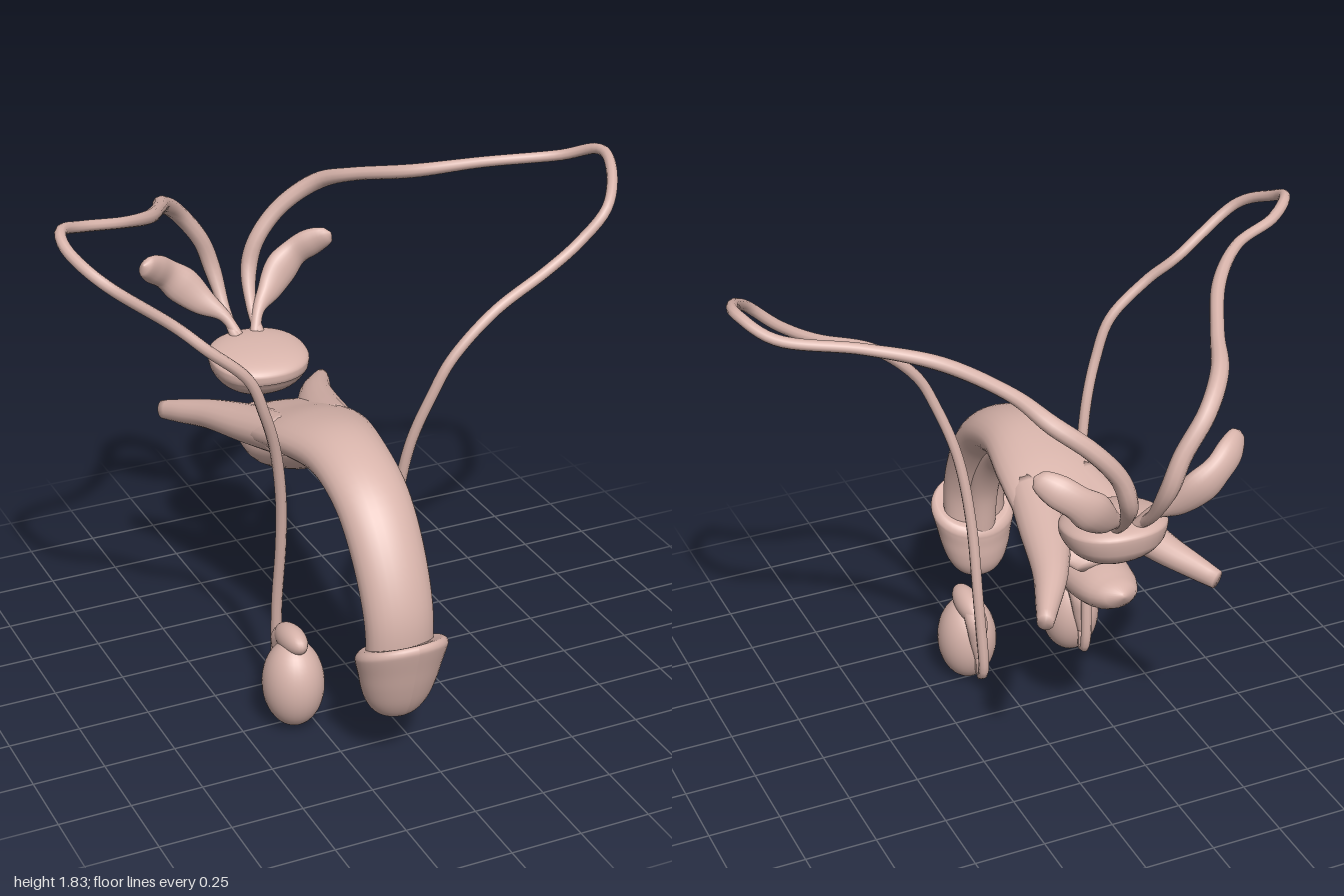
import * as THREE from 'three';

const MID = -0.105; // plane of symmetry of the central organs

// Elliptical sweep. Each station is [x, y, z, halfWidth, halfHeight].
// With ref, the width runs along ref x tangent; otherwise frames are transported.
function sweep(stations, { rings = 40, sides = 20, ref = null } = {}) {
  const curve = new THREE.CatmullRomCurve3(stations.map(s => new THREE.Vector3(s[0], s[1], s[2])));
  const radii = new THREE.CatmullRomCurve3(stations.map(s => new THREE.Vector3(s[3], s[4] ?? s[3], 0)));
  // match the arc-length parameter of the path to the station parameter
  curve.curveType = radii.curveType = 'catmullrom';
  const frames = curve.computeFrenetFrames(rings, false);
  const pos = [], index = [];
  const ring = (k, scale) => {
    const u = k / rings, p = curve.getPointAt(u), r = radii.getPoint(curve.getUtoTmapping(u));
    const t = frames.tangents[k];
    const n = ref ? ref.clone().cross(t).normalize() : frames.normals[k];
    const b = t.clone().cross(n);
    for (let i = 0; i < sides; i++) {
      const a = (i / sides) * Math.PI * 2;
      const q = p.clone()
        .addScaledVector(n, Math.cos(a) * Math.max(r.x, 0.002) * scale)
        .addScaledVector(b, Math.sin(a) * Math.max(r.y, 0.002) * scale);
      pos.push(q.x, q.y, q.z);
    }
  };
  ring(0, 0);
  for (let k = 0; k <= rings; k++) ring(k, 1);
  ring(rings, 0);
  for (let j = 0; j < rings + 2; j++) {
    for (let i = 0; i < sides; i++) {
      const i2 = (i + 1) % sides;
      const a = j * sides + i, b = j * sides + i2, c = a + sides, d = b + sides;
      index.push(a, b, c, b, d, c);
    }
  }
  const g = new THREE.BufferGeometry();
  g.setAttribute('position', new THREE.Float32BufferAttribute(pos, 3));
  g.setIndex(index);
  g.computeVertexNormals();
  return g;
}

// Move every vertex by a rule
function deform(g, rule) {
  const p = g.attributes.position, v = new THREE.Vector3();
  for (let i = 0; i < p.count; i++) {
    rule(v.fromBufferAttribute(p, i));
    p.setXYZ(i, v.x, v.y, v.z);
  }
  g.computeVertexNormals();
  return g;
}

export function createModel() {
  const model = new THREE.Group();
  model.name = 'reproductiveAnatomy';
  const tissue = new THREE.MeshStandardMaterial({ color: 0xd8b4ab });
  tissue.name = 'tissue';
  const add = (name, geometry, parent = model) => {
    const m = new THREE.Mesh(geometry, tissue);
    m.name = name;
    parent.add(m);
    return m;
  };

  // Upper body of the shaft, arching back and widening
  add('shaftUpperBody', sweep([
    [MID, 0.38, 0.645, 0.115, 0.07],
    [MID, 0.58, 0.635, 0.12, 0.08],
    [MID, 0.77, 0.55, 0.125, 0.085],
    [MID, 0.91, 0.42, 0.13, 0.085],
    [MID, 0.975, 0.23, 0.14, 0.085],
    [MID, 0.96, 0.03, 0.175, 0.08],
    [MID, 0.91, -0.17, 0.19, 0.065],
    [MID, 0.87, -0.32, 0.17, 0.055],
    [MID, 0.84, -0.44, 0.1, 0.03],
  ], { rings: 48, sides: 28 }));

  // Lower body, ending in a bulb at the back
  add('shaftLowerBody', sweep([
    [MID, 0.38, 0.58, 0.05, 0.04],
    [MID, 0.60, 0.55, 0.055, 0.045],
    [MID, 0.77, 0.45, 0.055, 0.045],
    [MID, 0.875, 0.31, 0.06, 0.045],
    [MID, 0.91, 0.17, 0.065, 0.045],
    [MID, 0.885, 0.02, 0.075, 0.055],
    [MID, 0.82, -0.16, 0.095, 0.075],
    [MID, 0.765, -0.34, 0.115, 0.085],
    [MID, 0.765, -0.48, 0.1, 0.07],
    [MID, 0.785, -0.56, 0.06, 0.04],
    [MID, 0.795, -0.59, 0.01, 0.01],
  ], { rings: 56, sides: 24 }));

  // Glans: a flared cap with a slanted rim
  const profile = [[0, 0], [0.045, 0.005], [0.08, 0.025], [0.11, 0.07], [0.13, 0.13], [0.143, 0.19],
    [0.155, 0.24], [0.157, 0.262], [0.145, 0.28], [0.12, 0.282], [0, 0.26]];
  const smooth = new THREE.SplineCurve(profile.map(p => new THREE.Vector2(...p))).getPoints(40);
  smooth.forEach(p => { p.x = Math.max(p.x, 0); });
  add('glans', deform(new THREE.LatheGeometry(smooth, 36), v => {
    const t = Math.min(v.y / 0.25, 1);
    v.z *= 0.83;
    v.y += 0.2 + 0.45 * v.z * t;
    v.z += 0.66 - 0.04 * (1 - t);
    v.x += MID;
  }));

  // Prostate: a bowl with a nearly flat, tilted top
  add('prostate', deform(new THREE.SphereGeometry(1, 40, 28), v => {
    const square = c => Math.sign(c) * Math.pow(Math.abs(c), 0.9);
    const x = square(v.x) * 0.178, z = square(v.z) * 0.163;
    v.set(MID + x, 1.03 + v.y * (v.y > 0 ? 0.045 : 0.125) - (v.y > -0.3 ? 0.12 : 0.05) * z, z - 0.5);
  }));

  // Paired roots of the shaft and seminal vesicles
  const up = new THREE.Vector3(0, 1, 0), forward = new THREE.Vector3(0, 0, 1);
  for (const [side, s] of [['left', 1], ['right', -1]]) {
    const mirrored = list => list.map(([x, ...rest]) => [MID + s * x, ...rest]);
    add(side + 'Crus', sweep(mirrored([
      [0.09, 0.935, -0.05, 0.08, 0.07],
      [0.13, 0.895, -0.25, 0.085, 0.065],
      [0.2, 0.86, -0.45, 0.06, 0.052],
      [0.27, 0.83, -0.58, 0.04, 0.042],
      [0.31, 0.813, -0.65, 0.028, 0.034],
    ]), { rings: 24, sides: 18, ref: up }));
    add(side + 'SeminalVesicle', sweep(mirrored([
      [0.03, 1.06, -0.6, 0.02, 0.02],
      [0.065, 1.13, -0.65, 0.022, 0.022],
      [0.13, 1.18, -0.7, 0.05, 0.032],
      [0.19, 1.24, -0.73, 0.066, 0.038],
      [0.245, 1.29, -0.735, 0.055, 0.034],
      [0.3, 1.33, -0.71, 0.054, 0.034],
      [0.345, 1.36, -0.675, 0.035, 0.022],
      [0.358, 1.37, -0.665, 0.004, 0.004],
    ]), { rings: 36, sides: 18, ref: forward }));
  }

  // Long ducts looping from the prostate out and down to the testes
  const ducts = {
    left: [
      [-0.06, 1.06, -0.59], [-0.055, 1.14, -0.68], [-0.03, 1.25, -0.755], [0.01, 1.36, -0.765],
      [0.1, 1.47, -0.755], [0.21, 1.56, -0.7], [0.29, 1.62, -0.57], [0.44, 1.67, -0.39],
      [0.65, 1.71, -0.27], [0.88, 1.735, -0.16], [0.97, 1.785, -0.04], [0.945, 1.76, 0.09],
      [0.86, 1.68, 0.215], [0.75, 1.58, 0.23], [0.62, 1.5, 0.24], [0.42, 1.41, 0.27],
      [0.27, 1.28, 0.275], [0.2, 1.15, 0.26], [0.135, 0.95, 0.22], [0.105, 0.7, 0.18],
      [0.1, 0.4, 0.135], [0.09, 0.14, 0.115], [0.09, 0.075, 0.145], [0.09, 0.15, 0.15],
    ],
    right: [
      [-0.15, 1.06, -0.59], [-0.155, 1.14, -0.68], [-0.17, 1.27, -0.755], [-0.21, 1.39, -0.765],
      [-0.3, 1.51, -0.745], [-0.39, 1.59, -0.65], [-0.46, 1.64, -0.5], [-0.57, 1.7, -0.3],
      [-0.71, 1.755, -0.16], [-0.87, 1.79, -0.1], [-0.965, 1.82, -0.02], [-0.975, 1.785, 0.08],
      [-0.9, 1.71, 0.21], [-0.7, 1.55, 0.225], [-0.6, 1.46, 0.265], [-0.47, 1.34, 0.275],
      [-0.41, 1.2, 0.265], [-0.36, 1.04, 0.235], [-0.33, 0.85, 0.205], [-0.32, 0.65, 0.175],
      [-0.32, 0.4, 0.135], [-0.315, 0.15, 0.115], [-0.315, 0.08, 0.145], [-0.315, 0.155, 0.15],
    ],
  };
  for (const [side, path] of Object.entries(ducts)) {
    // thicker near the prostate, thin beyond
    const radius = k => (k < 2 ? 0.02 : k < 6 ? 0.031 : k < 8 ? 0.024 : k > 21 ? 0.014 : 0.019);
    add(side + 'Duct', sweep(path.map((p, k) => [...p, radius(k)]), { rings: 160, sides: 10 }));
  }

  // Testes, each with a cap and tail at the back
  for (const [side, x, y] of [['left', 0.087, 0.168], ['right', -0.323, 0.175]]) {
    const group = new THREE.Group();
    group.name = side + 'Testicle';
    group.position.set(x, y, 0.275);
    model.add(group);
    add('testis', new THREE.SphereGeometry(1, 32, 24), group).scale.set(0.106, 0.16, 0.114);
    const head = add('epididymisHead', new THREE.SphereGeometry(1, 24, 18), group);
    head.scale.set(0.045, 0.05, 0.1);
    head.position.set(0.005, 0.155, -0.025);
    head.rotation.x = -0.15;
    add('epididymisTail', sweep([
      [0.005, 0.16, -0.05, 0.035], [0.005, 0.12, -0.1, 0.04], [0.005, 0.05, -0.11, 0.03],
      [0, -0.03, -0.115, 0.018], [0, -0.09, -0.11, 0.016],
    ], { rings: 20, sides: 12 }), group);
  }
  return model;
}
